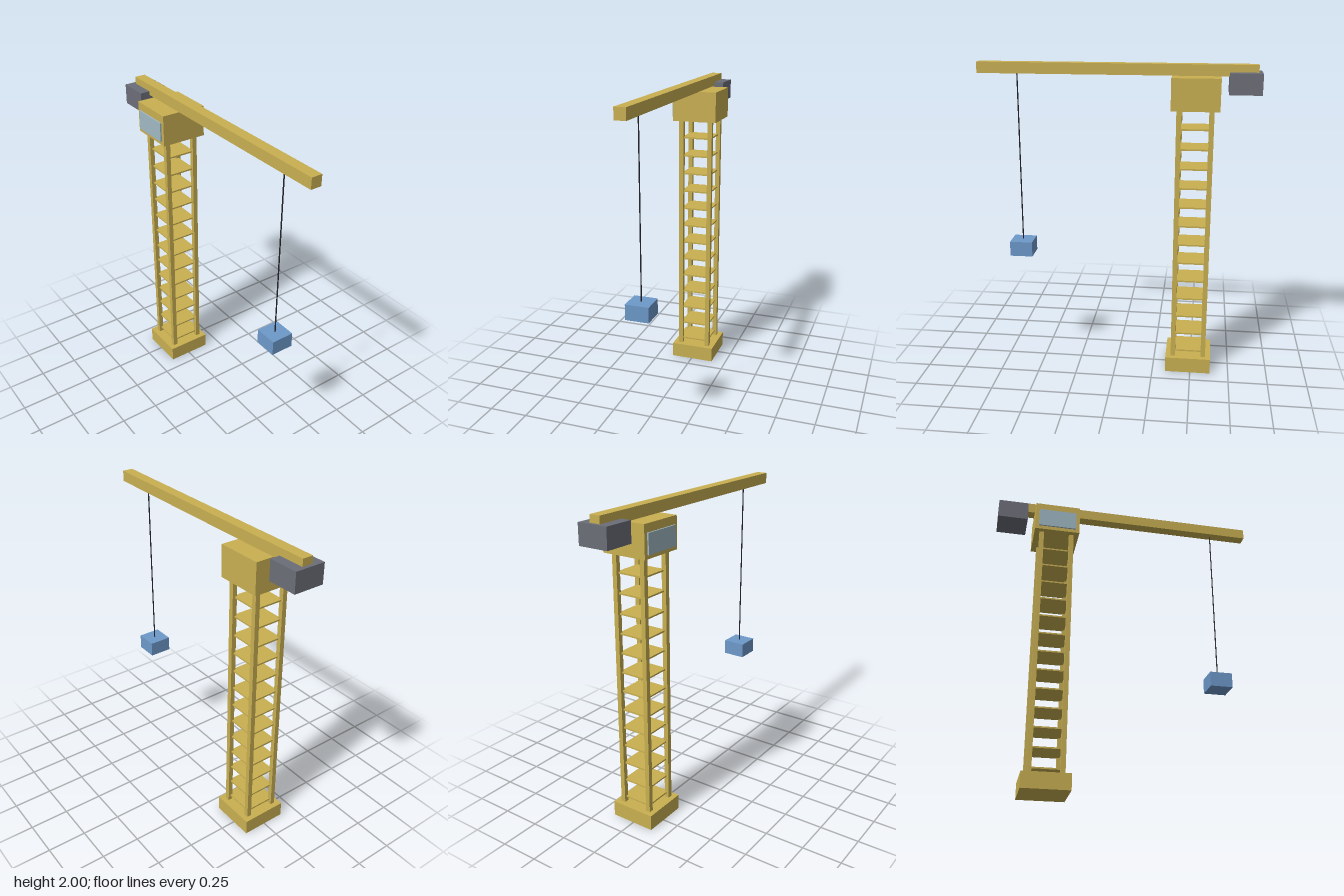
import * as THREE from 'three';

const paint = (name, color) => {
  const m = new THREE.MeshStandardMaterial({ color });
  m.name = name;
  return m;
};

export function createModel() {
  const yellow = paint('craneYellow', 0xc9b052);
  const grey = paint('ballastGrey', 0x6c6e78);
  const blue = paint('loadBlue', 0x6d99ca);
  const glass = paint('windowGlass', 0xa0b9c4);
  const black = paint('cableBlack', 0x24242a);

  const crane = new THREE.Group();
  crane.name = 'towerCrane';
  const MX = -0.483; // mast axis
  const Z = -0.005;

  // Box given by its centre in x and z and its bottom and top in y
  const box = (name, mat, w, d, x, z, y0, y1, parent = crane) => {
    const mesh = new THREE.Mesh(new THREE.BoxGeometry(w, y1 - y0, d), mat);
    mesh.position.set(x, (y0 + y1) / 2, z);
    mesh.name = name;
    parent.add(mesh);
    return mesh;
  };

  // Foundation
  box('base', yellow, 0.295, 0.295, MX, Z, 0, 0.1);

  // Mast: four legs with thin square platforms between them
  const mast = new THREE.Group();
  mast.name = 'mast';
  crane.add(mast);
  for (const sx of [-1, 1])
    for (const sz of [-1, 1])
      box('mastLeg', yellow, 0.03, 0.03, MX + sx * 0.099, Z + sz * 0.099, 0.1, 1.735, mast);
  for (let i = 0; i < 13; i++) {
    const y = 0.134 + i * 0.1234;
    box('mastPlatform', yellow, 0.197, 0.197, MX, Z, y - 0.005, y + 0.005, mast);
  }

  // Cab with front window
  box('cab', yellow, 0.295, 0.295, MX, Z, 1.733, 1.93);
  box('cabWindow', glass, 0.247, 0.0095, MX, 0.1475, 1.757, 1.88);

  // Jib and counterweight
  box('jib', yellow, 1.727, 0.069, 0.0115, Z, 1.931, 2);
  box('counterweight', grey, 0.196, 0.196, -0.777, Z, 1.828, 1.955);

  // Hoist cable and hanging load
  const cable = new THREE.Mesh(new THREE.CylinderGeometry(0.004, 0.004, 1.091, 8), black);
  cable.name = 'hoistCable';
  cable.position.set(0.628, 1.3855, Z);
  crane.add(cable);
  box('load', blue, 0.147, 0.147, 0.628, Z, 0.746, 0.843);

  return crane;
}
